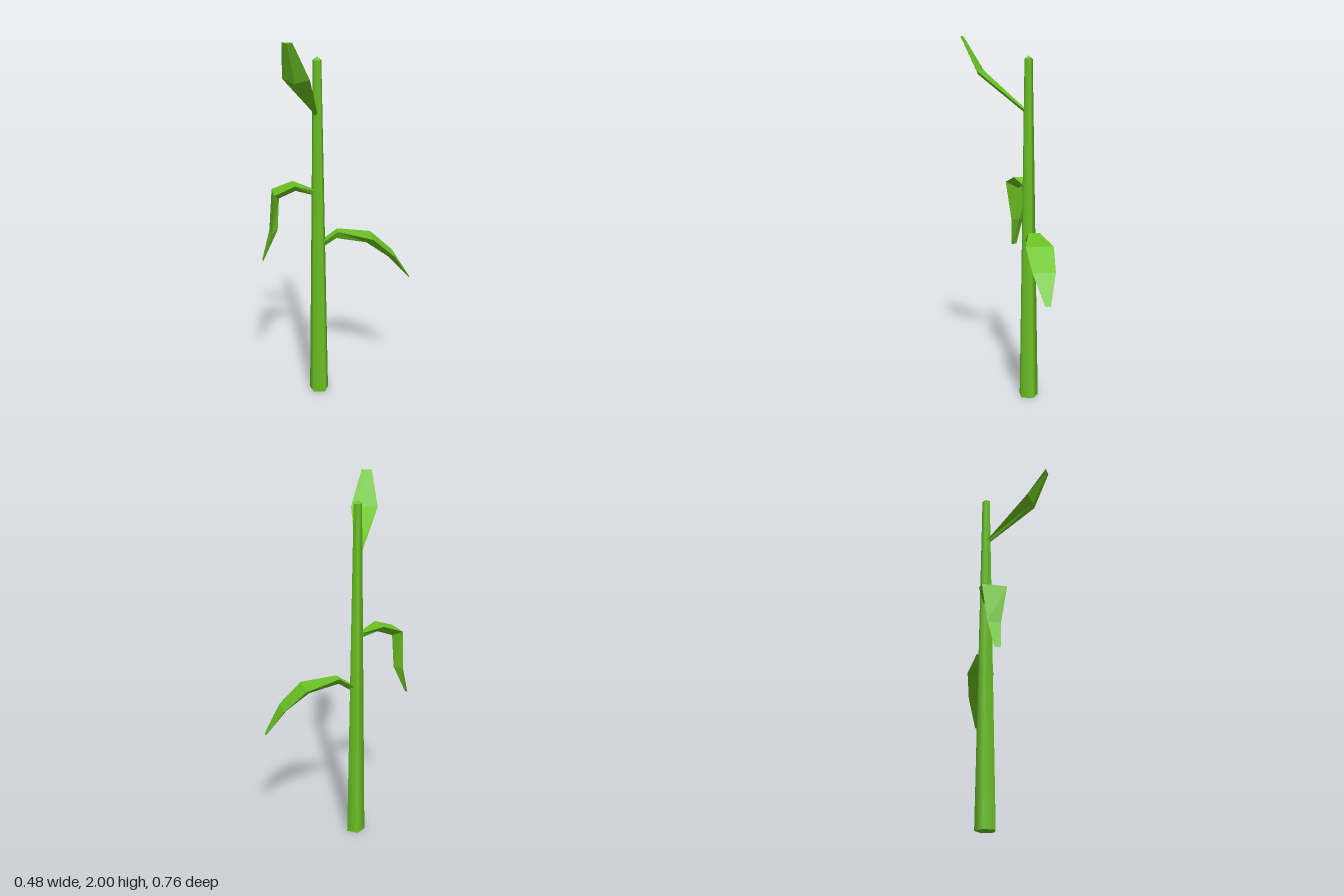
import * as THREE from 'three';

const green = new THREE.MeshStandardMaterial({ color: 0x6cc424 });
const leafGreen = new THREE.MeshStandardMaterial({ color: 0x6cc424, flatShading: true });
const STALK = { x: -0.063, z: 0.045 };

// Keeled leaf: triangular sections [left, right, keel] lofted from stalk to tip
function leaf(name, sections) {
  const pos = [];
  const tri = (...pts) => pts.forEach(p => pos.push(...p));
  for (let i = 0; i < sections.length - 1; i++) {
    const a = sections[i], b = sections[i + 1];
    for (let j = 0; j < 3; j++) {
      const k = (j + 1) % 3;
      tri(a[j], a[k], b[k]);
      tri(a[j], b[k], b[j]);
    }
  }
  const first = sections[0], last = sections[sections.length - 1];
  tri(first[2], first[1], first[0]);
  tri(last[0], last[1], last[2]);
  const geo = new THREE.BufferGeometry();
  geo.setAttribute('position', new THREE.Float32BufferAttribute(pos, 3));
  geo.computeVertexNormals();
  const mesh = new THREE.Mesh(geo, leafGreen);
  mesh.name = name;
  return mesh;
}

export function createModel() {
  const group = new THREE.Group();
  group.name = 'plant';

  // Tapered five-sided stalk with a shallow pointed top
  const stalk = new THREE.Mesh(
    new THREE.CylinderGeometry(0.023, 0.055, 1.88, 5, 1, false, Math.PI / 2), green);
  stalk.name = 'stalk';
  stalk.position.set(STALK.x, 0.94, STALK.z);
  const tip = new THREE.Mesh(
    new THREE.ConeGeometry(0.023, 0.017, 5, 1, true, Math.PI / 2), leafGreen);
  tip.name = 'stalkTip';
  tip.position.set(STALK.x, 1.8885, STALK.z);
  group.add(stalk, tip);

  // Upright leaf near the top
  group.add(leaf('upperLeaf', [
    [[-0.05, 1.61, 0.055], [-0.073, 1.61, 0.06], [-0.06, 1.595, 0.062]],
    [[0.127, 1.82, 0.243], [0.005, 1.82, 0.315], [0.071, 1.8, 0.292]],
    [[0.14, 2, 0.353], [0.093, 2, 0.38], [0.117, 1.995, 0.368]],
  ]));

  // Middle leaf, bent over and hanging
  group.add(leaf('middleLeaf', [
    [[-0.06, 1.2, 0.065], [-0.083, 1.2, 0.05], [-0.07, 1.17, 0.057]],
    [[-0.085, 1.24, 0.18], [-0.18, 1.24, 0.125], [-0.128, 1.2, 0.145]],
    [[-0.125, 1.2, 0.285], [-0.24, 1.2, 0.22], [-0.168, 1.165, 0.225]],
    [[-0.164, 0.98, 0.28], [-0.228, 0.98, 0.25], [-0.18, 0.985, 0.23]],
    [[-0.2, 0.82, 0.317], [-0.228, 0.82, 0.303], [-0.213, 0.823, 0.305]],
  ]));

  // Lower leaf, arching to the back
  group.add(leaf('lowerLeaf', [
    [[-0.075, 0.905, 0.018], [-0.035, 0.905, 0.042], [-0.05, 0.875, 0.026]],
    [[-0.035, 0.967, -0.065], [0.015, 0.967, -0.03], [-0.006, 0.925, -0.036]],
    [[0.042, 0.933, -0.24], [0.16, 0.933, -0.155], [0.085, 0.893, -0.175]],
    [[0.125, 0.827, -0.33], [0.22, 0.827, -0.26], [0.16, 0.805, -0.275]],
    [[0.215, 0.683, -0.381], [0.24, 0.683, -0.364], [0.226, 0.68, -0.37]],
  ]));

  return group;
}
